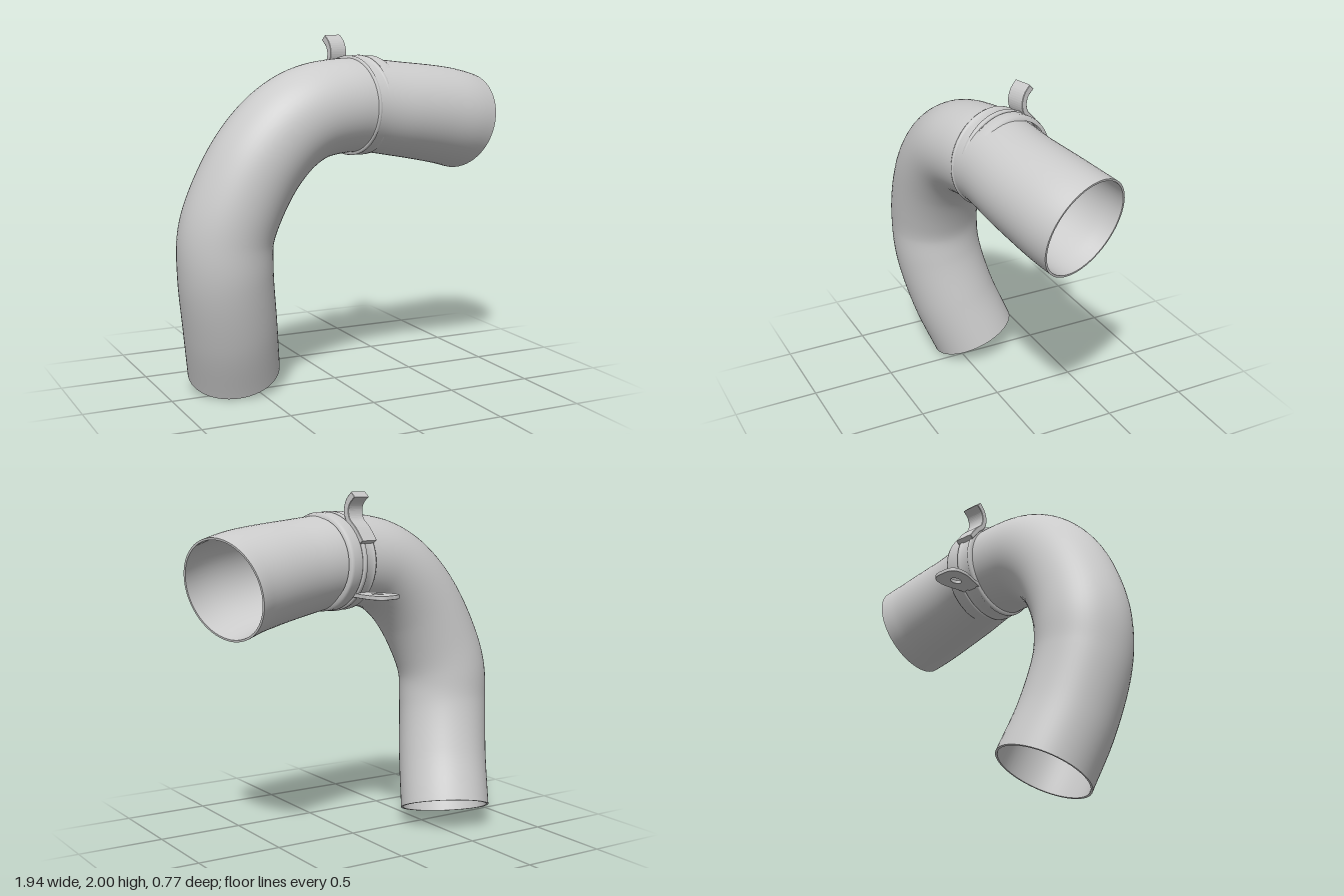
import * as THREE from 'three';
import { mergeGeometries } from 'three/addons/utils/BufferGeometryUtils.js';

const SIDES = 56, STEPS = 110, WALL = 0.012;

// Skin a list of equal-length rings of points
function loft(rings) {
  const pos = [], index = [];
  rings.forEach(ring => ring.forEach(p => pos.push(p.x, p.y, p.z)));
  for (let i = 0; i < rings.length - 1; i++) {
    for (let j = 0; j < SIDES; j++) {
      const a = i * SIDES + j, b = i * SIDES + (j + 1) % SIDES;
      index.push(a, b, a + SIDES, b, b + SIDES, a + SIDES);
    }
  }
  const g = new THREE.BufferGeometry();
  g.setAttribute('position', new THREE.Float32BufferAttribute(pos, 3));
  g.setIndex(index);
  g.computeVertexNormals();
  return g;
}

// Thin-walled bent hose that widens toward its upper mouth
function hoseGeometry() {
  const path = new THREE.CatmullRomCurve3([
    [-0.59, 0.105, -0.115], [-0.65, 0.4, -0.005], [-0.70, 0.72, 0.07], [-0.70, 0.92, 0.085],
    [-0.645, 1.1, 0.1], [-0.52, 1.33, 0.112], [-0.37, 1.49, 0.112], [-0.22, 1.575, 0.105],
    [-0.03, 1.61, 0.085], [0.15, 1.608, 0.06], [0.38, 1.578, 0.038], [0.6, 1.545, 0.002],
    [0.75, 1.517, -0.03], [0.855, 1.49, -0.065],
  ].map(p => new THREE.Vector3(...p)));
  const { normals, binormals } = path.computeFrenetFrames(STEPS, false);
  const ring = (i, inset) => {
    const u = i / STEPS, c = path.getPointAt(u);
    const r = 0.265 + 0.025 * THREE.MathUtils.smoothstep(u, 0.72, 1) - inset;
    return Array.from({ length: SIDES }, (_, j) => {
      const a = j / SIDES * Math.PI * 2;
      return c.clone().addScaledVector(normals[i], r * Math.cos(a)).addScaledVector(binormals[i], r * Math.sin(a));
    });
  };
  const steps = Array.from({ length: STEPS + 1 }, (_, i) => i);
  return mergeGeometries([
    loft(steps.map(i => ring(i, 0))),
    loft(steps.map(i => ring(STEPS - i, WALL))),
    loft([ring(0, WALL), ring(0, 0)]),
    loft([ring(STEPS, 0), ring(STEPS, WALL)]),
  ]);
}

// Ring turned around the local x axis from [radius, x] pairs
function band(profile) {
  const g = new THREE.LatheGeometry(profile.map(p => new THREE.Vector2(...p)), 64);
  return g.rotateZ(-Math.PI / 2);
}

export function createModel() {
  const group = new THREE.Group();
  const material = new THREE.MeshStandardMaterial({ color: 0xcccccc, side: THREE.DoubleSide });
  const add = (parent, name, geometry) => {
    const mesh = new THREE.Mesh(geometry, material);
    mesh.name = name;
    parent.add(mesh);
    return mesh;
  };

  add(group, 'hose', hoseGeometry());

  // Clamp, tilted across the hose
  const clamp = new THREE.Group();
  clamp.name = 'clamp';
  clamp.position.set(0.095, 1.61, 0.052);
  clamp.rotation.y = 0.25;
  group.add(clamp);

  // Strap with raised edges, and the wider collar beside it
  add(clamp, 'strap', band([[0.255, -0.055], [0.276, -0.055], [0.281, -0.046], [0.281, -0.036], [0.274, -0.028],
    [0.274, 0.018], [0.283, 0.024], [0.283, 0.04], [0.276, 0.048], [0.255, 0.05]]));
  add(clamp, 'collar', band([[0.25, 0.05], [0.274, 0.052], [0.279, 0.062], [0.278, 0.12], [0.272, 0.135], [0.25, 0.14]]));

  // Upper tail: a curled strip, drawn from the side as [back, up] and given thickness
  const spine = new THREE.SplineCurve([[0.265, 0.12], [0.215, 0.185], [0.165, 0.235], [0.15, 0.29],
    [0.165, 0.34], [0.2, 0.375]].map(p => new THREE.Vector2(...p)));
  const edge = side => Array.from({ length: 25 }, (_, i) => {
    const t = spine.getTangent(i / 24), p = spine.getPoint(i / 24);
    return p.add(new THREE.Vector2(-t.y, t.x).multiplyScalar(side * (0.011 + 0.006 * i / 24)));
  });
  const tail = new THREE.ExtrudeGeometry(new THREE.Shape([...edge(1), ...edge(-1).reverse()]),
    { depth: 0.1, bevelEnabled: true, bevelSize: 0.004, bevelThickness: 0.008, bevelSegments: 2 });
  tail.translate(0, 0, -0.05).rotateY(Math.PI / 2);
  add(clamp, 'upperTail', tail);

  // Lower lug: a rounded tongue with a hole, pointing backward
  const tongue = new THREE.Shape();
  tongue.moveTo(-0.05, 0.19);
  tongue.lineTo(0.05, 0.19);
  tongue.lineTo(0.085, 0.33);
  tongue.quadraticCurveTo(0.1, 0.44, 0.03, 0.445);
  tongue.lineTo(-0.03, 0.445);
  tongue.quadraticCurveTo(-0.1, 0.44, -0.085, 0.33);
  tongue.closePath();
  const hole = new THREE.Path();
  hole.absellipse(0, 0.335, 0.03, 0.042, 0, Math.PI * 2);
  tongue.holes.push(hole);
  const lug = new THREE.ExtrudeGeometry(tongue,
    { depth: 0.014, bevelEnabled: true, bevelSize: 0.005, bevelThickness: 0.005, bevelSegments: 2, curveSegments: 16 });
  lug.rotateX(-Math.PI / 2);
  add(clamp, 'lowerLug', lug).position.y = -0.185;

  return group;
}
